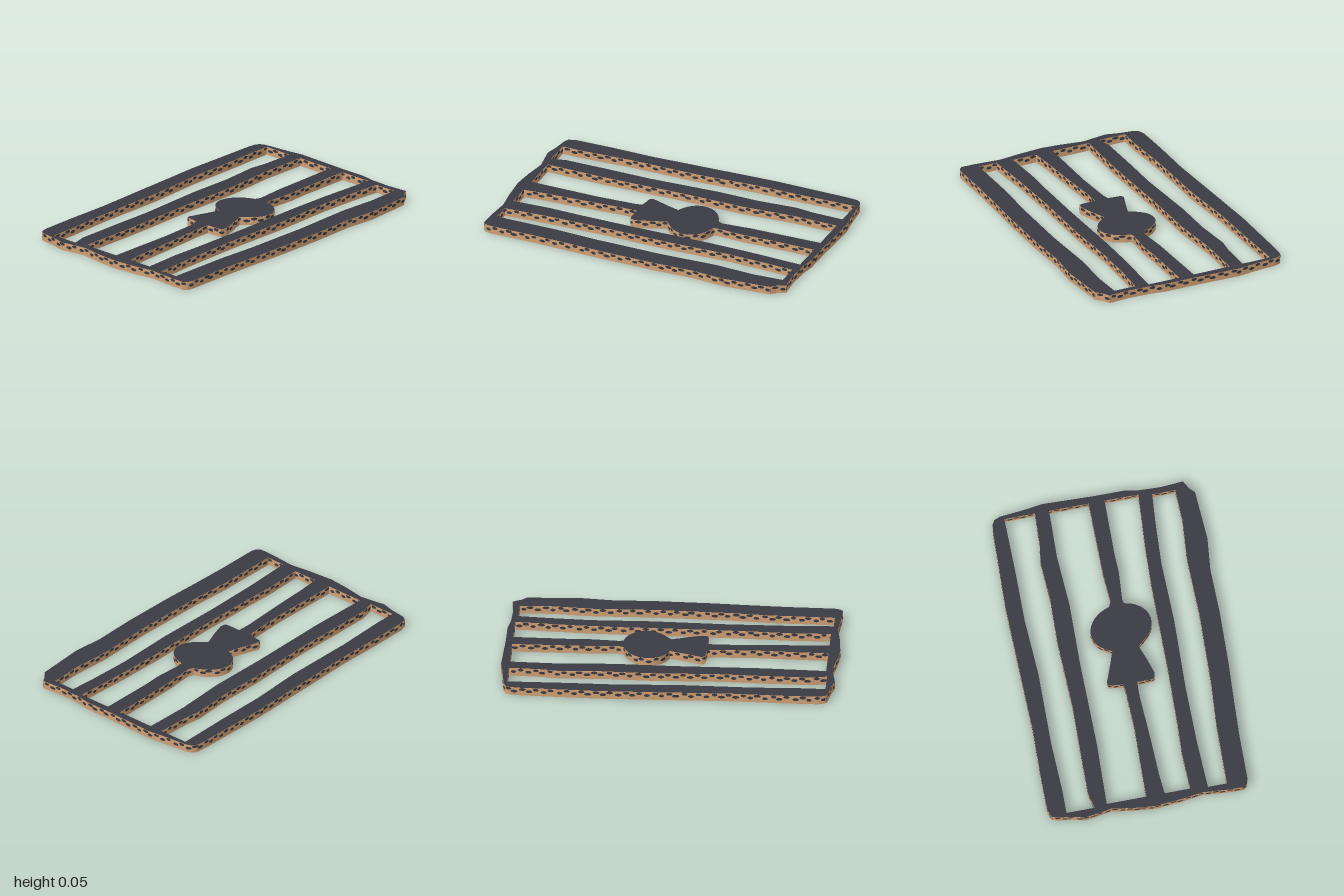
import * as THREE from 'three';
import { mergeGeometries } from 'three/addons/utils/BufferGeometryUtils.js';

const HEIGHT = 0.05;

// Hand-cut edges as [x, z] points; bars run from back (-z) to front (+z).
const outline = [
  [-0.612, -0.87], [-0.605, -0.93], [-0.59, -0.955], [-0.555, -0.97], [-0.4, -0.985], [-0.29, -1],
  [0.03, -0.99], [0.2, -0.99], [0.29, -0.975], [0.42, -0.97], [0.555, -0.98], [0.582, -0.93],
  [0.612, -0.9], [0.628, -0.6], [0.607, -0.4], [0.61, -0.13], [0.6, 0.19], [0.585, 0.45],
  [0.575, 0.66], [0.57, 0.93], [0.56, 0.965], [0.54, 0.982], [0.45, 0.98], [0.29, 0.967], [0.16, 0.985],
  [0, 0.998], [-0.12, 0.987], [-0.26, 0.965], [-0.42, 0.99], [-0.5, 0.97], [-0.59, 0.958],
  [-0.618, 0.945], [-0.632, 0.9], [-0.63, 0.67], [-0.62, 0.4], [-0.625, 0.03], [-0.63, -0.4], [-0.62, -0.66],
];
const outerLeftEdge = [
  [-0.53, -0.95], [-0.53, -0.6], [-0.535, -0.3], [-0.52, 0.05], [-0.53, 0.5], [-0.522, 0.8], [-0.525, 0.94],
];
const bar2Left = [
  [-0.345, -0.95], [-0.355, -0.75], [-0.372, -0.64], [-0.36, -0.4], [-0.37, -0.13], [-0.36, 0.3], [-0.37, 0.6], [-0.375, 0.85], [-0.355, 0.94],
];
const bar2Right = [
  [-0.26, -0.95], [-0.27, -0.66], [-0.255, -0.34], [-0.265, 0.03], [-0.265, 0.55], [-0.28, 0.93],
];
const bar4Left = [
  [0.28, -0.95], [0.255, -0.6], [0.245, -0.34], [0.24, 0.15], [0.23, 0.5], [0.22, 0.7], [0.225, 0.93],
];
const bar4Right = [
  [0.36, -0.935], [0.345, -0.76], [0.33, -0.5], [0.335, -0.13], [0.32, 0.3], [0.32, 0.66], [0.33, 0.94],
];
const outerRightEdge = [
  [0.5, -0.935], [0.505, -0.74], [0.485, -0.5], [0.49, -0.13], [0.475, 0.3], [0.455, 0.56], [0.445, 0.94],
];

// One side of the middle bar, with the round head and flared skirt of the keyhole
function middleEdge(side) {
  const left = side < 0;
  const head = [];
  for (let i = 0; i <= 14; i++) {
    const a = THREE.MathUtils.degToRad(14 + (140 - 14) * (i / 14));
    head.push([0.018 + side * 0.185 * Math.sin(a), -0.15 - 0.145 * Math.cos(a) + (left ? 0.015 : -0.01) * Math.sin(a)]);
  }
  return left
    ? [[-0.02, -0.95], [-0.022, -0.5], [-0.012, -0.32], ...head, [-0.062, -0.01], [-0.09, 0.07], [-0.132, 0.18],
      [-0.125, 0.2], [-0.04, 0.21], [-0.032, 0.25], [-0.026, 0.5], [-0.035, 0.75], [-0.04, 0.93]]
    : [[0.075, -0.95], [0.068, -0.6], [0.072, -0.5], [0.058, -0.32], ...head, [0.097, -0.01], [0.13, 0.08], [0.157, 0.17],
      [0.15, 0.205], [0.12, 0.21], [0.045, 0.21], [0.042, 0.3], [0.055, 0.6], [0.06, 0.8], [0.07, 0.93]];
}

const toPoints = (pts) => pts.map(([x, z]) => new THREE.Vector2(x, -z));

function windowBetween(leftEdge, rightEdge) {
  return toPoints([...leftEdge, ...[...rightEdge].reverse()]);
}

// Dark flecks wrapped onto the wall that follows a contour, in two staggered rows
function wallFlecks(points, isHole, rand) {
  const loop = THREE.ShapeUtils.isClockWise(points) === isHole ? points : [...points].reverse();
  const path = new THREE.CurvePath();
  loop.forEach((p, i) => path.add(new THREE.LineCurve(p, loop[(i + 1) % loop.length])));
  const total = path.getLength();
  const count = 2 * Math.round(total / 0.088);
  const flecks = [];
  for (let i = 0; i < count; i++) {
    const r = 0.016 + 0.006 * rand();
    const centre = ((i + 0.5 + 0.3 * (rand() - 0.5)) / count) * total;
    const height = (i % 2 ? 0.04 : 0.027) + 0.002 * (rand() - 0.5);
    const fleck = new THREE.CircleGeometry(1, 8);
    const pos = fleck.attributes.position;
    for (let k = 0; k < pos.count; k++) {
      const u = THREE.MathUtils.euclideanModulo((centre + r * pos.getX(k)) / total, 1);
      const p = path.getPoint(u);
      const t = path.getTangent(u);
      pos.setXYZ(k, p.x + t.y * 0.002, height + 0.0095 * pos.getY(k), -p.y + t.x * 0.002);
    }
    fleck.computeVertexNormals();
    flecks.push(fleck);
  }
  return flecks;
}

export function createModel() {
  const slate = new THREE.MeshStandardMaterial({ name: 'dark slate', color: 0x3a3a44 });
  const clay = new THREE.MeshStandardMaterial({ name: 'light brown', color: 0xcf9f74 });

  const border = toPoints(outline);
  const windows = [
    windowBetween(outerLeftEdge, bar2Left),
    windowBetween(bar2Right, middleEdge(-1)),
    windowBetween(middleEdge(1), bar4Left),
    windowBetween(bar4Right, outerRightEdge),
  ];
  const shape = new THREE.Shape(border);
  shape.holes = windows.map((w) => new THREE.Path(w));

  const group = new THREE.Group();
  group.name = 'barredGrate';
  const add = (name, geometry, material) => {
    const mesh = new THREE.Mesh(geometry, material);
    mesh.name = name;
    group.add(mesh);
  };

  // Brown body of the grate
  const body = new THREE.ExtrudeGeometry(shape, { depth: HEIGHT - 0.001, bevelEnabled: false });
  add('grateBody', body.rotateX(-Math.PI / 2), clay);

  // Dark top face
  const top = new THREE.ShapeGeometry(shape).rotateX(-Math.PI / 2);
  add('topFace', top.translate(0, HEIGHT, 0), slate);

  // Dark flecks around the outer rim and inside each window
  let seed = 7;
  const rand = () => (seed = (seed * 16807) % 2147483647) / 2147483647;
  const flecks = wallFlecks(border, false, rand);
  windows.forEach((w) => flecks.push(...wallFlecks(w, true, rand)));
  add('wallFlecks', mergeGeometries(flecks), slate);

  return group;
}
